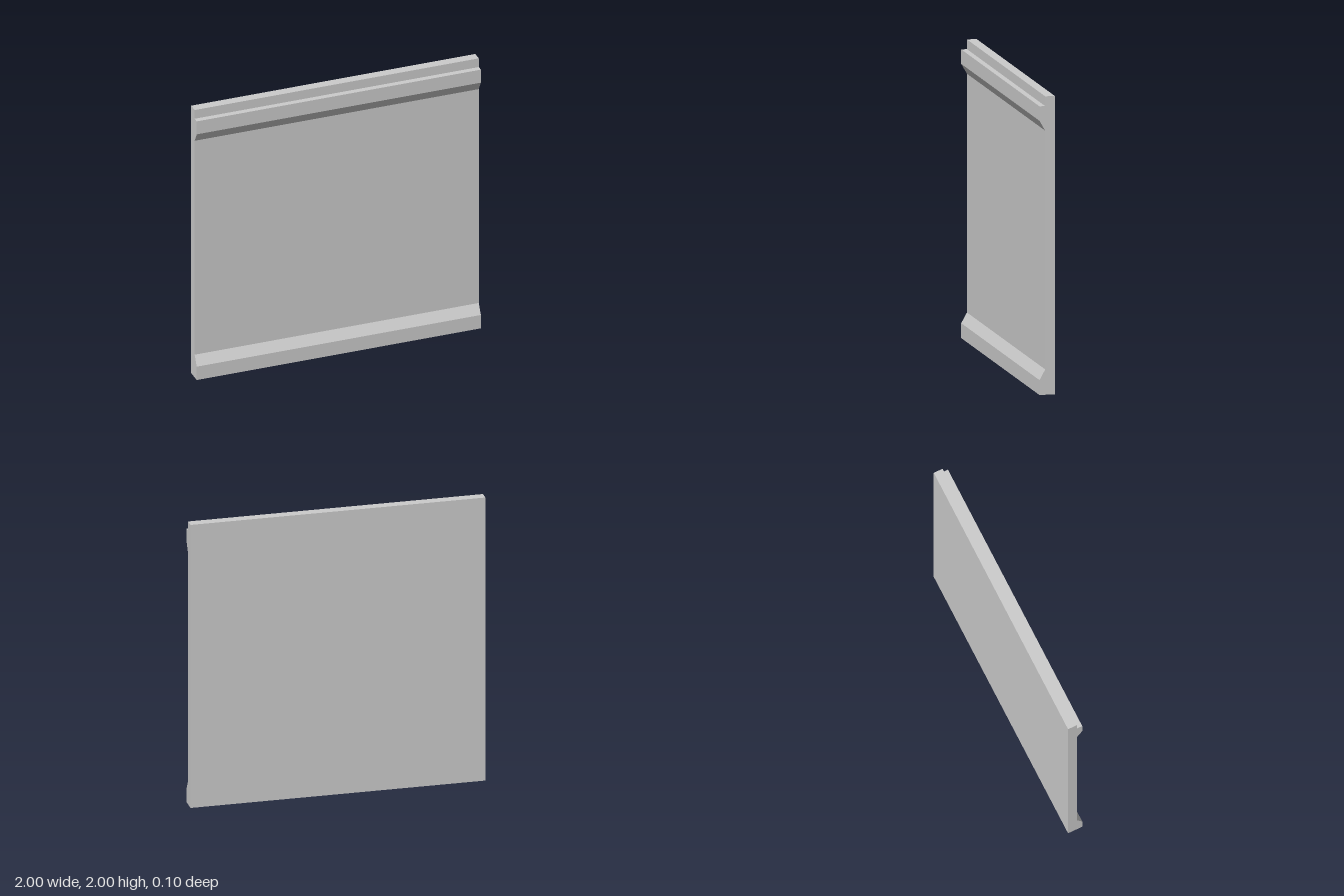
import * as THREE from 'three';

const WIDTH = 2;
const BACK = -0.052, FACE = 0.013, FRONT = 0.052;

export function createModel() {
  const group = new THREE.Group();
  group.name = 'wallPanel';

  // Side profile as (z, y): bottom skirting, recessed face, top moulding, upper lip
  const profile = new THREE.Shape([
    [BACK, 0], [FRONT, 0], [FRONT, 0.1], [FACE, 0.17],
    [FACE, 1.77], [FRONT, 1.838], [FRONT, 1.935], [FACE, 1.935],
    [FACE, 2], [BACK, 2],
  ].map(([z, y]) => new THREE.Vector2(z, y)));

  // Run the profile along the width, turning its x axis to face +z
  const geometry = new THREE.ExtrudeGeometry(profile, { depth: WIDTH, bevelEnabled: false });
  geometry.translate(0, 0, -WIDTH / 2).rotateY(-Math.PI / 2);

  const panel = new THREE.Mesh(
    geometry,
    new THREE.MeshStandardMaterial({ color: 0xcccccc, flatShading: true }),
  );
  panel.name = 'mouldedPanel';
  group.add(panel);
  return group;
}
